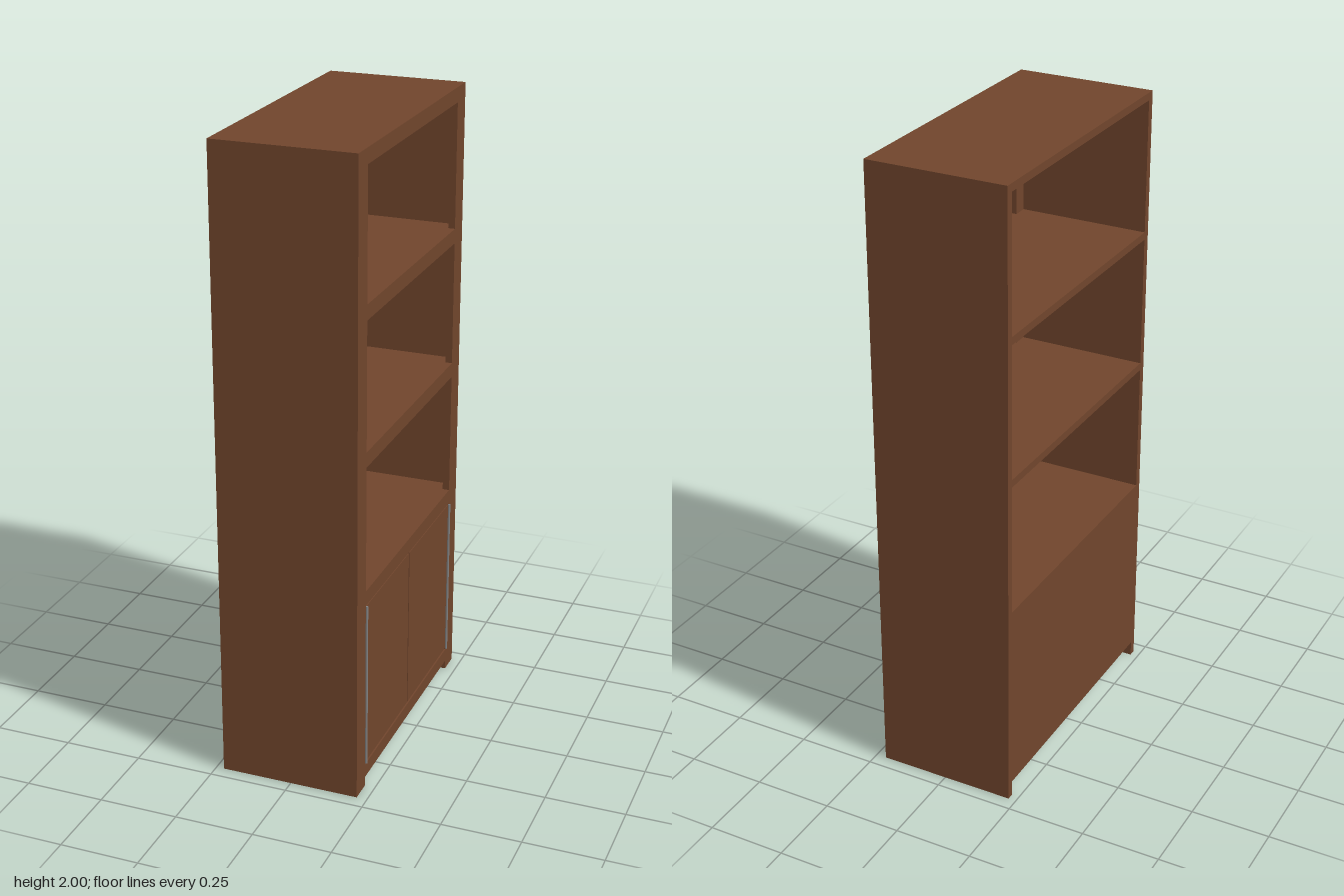
import * as THREE from 'three';

const wood = new THREE.MeshStandardMaterial({ color: 0x70452c });
wood.name = 'brownWood';
const metal = new THREE.MeshStandardMaterial({ color: 0x808080 });
metal.name = 'greyMetal';

// The open side of the bookcase faces +x.
const BACK = -0.225, FRONT = 0.217, HALF = 0.457, TOP = 2;
const PANEL = 0.024;               // board thickness
const FRAME = 0.022;               // face frame thickness
const STILE = 0.385;               // inner edge of the stiles
const INNER = FRONT - FRAME;       // where the boards meet the face frame

// Box given by its limits on each axis
function board(name, [x0, x1], [y0, y1], [z0, z1]) {
  const geometry = new THREE.BoxGeometry(x1 - x0, y1 - y0, z1 - z0);
  const mesh = new THREE.Mesh(geometry, wood);
  mesh.position.set((x0 + x1) / 2, (y0 + y1) / 2, (z0 + z1) / 2);
  mesh.name = name;
  return mesh;
}

// Length between two coordinates, mirrored across z = 0 when s is -1
const side = (s, a, b) => (s > 0 ? [a, b] : [-b, -a]);

export function createModel() {
  const group = new THREE.Group();
  group.name = 'bookcase';
  const inside = [-HALF + PANEL, HALF - PANEL];

  for (const s of [1, -1]) {
    // Side panels reach the front so the face frame sits between them
    group.add(board('sidePanel', [BACK, FRONT], [0, TOP], side(s, HALF - PANEL, HALF)));
    group.add(board('stile', [INNER, FRONT], [0, TOP], side(s, STILE, HALF - PANEL)));

    // Inset doors with a small gap all round
    group.add(board('door', [INNER, FRONT - 0.001], [0.081, 0.615], side(s, 0.003, 0.381)));

    // Full-height hinge on the outer edge of each door
    const hinge = new THREE.Mesh(new THREE.CylinderGeometry(0.004, 0.004, 0.538, 12), metal);
    hinge.position.set(0.2195, 0.348, s * 0.383);
    hinge.name = 'hinge';
    group.add(hinge);
  }

  // Horizontal boards and their rails: [name, top of board, bottom of rail, back edge]
  const levels = [
    ['bottom', 0.074, 0.03, BACK + 0.012],
    ['cabinetTop', 0.667, 0.62, BACK + 0.012],
    ['lowerShelf', 1.111, 1.064, BACK],
    ['upperShelf', 1.556, 1.509, BACK],
    ['top', TOP, 1.953, BACK],
  ];
  for (const [name, y, railY, back] of levels) {
    group.add(board(name, [back, INNER], [y - PANEL, y], inside));
    group.add(board(name + 'Rail', [INNER, FRONT], [railY, y], [-STILE, STILE]));
  }

  // Back closes only the lower cabinet
  group.add(board('cabinetBack', [BACK, BACK + 0.012], [0.05, 0.667], inside));

  return group;
}
